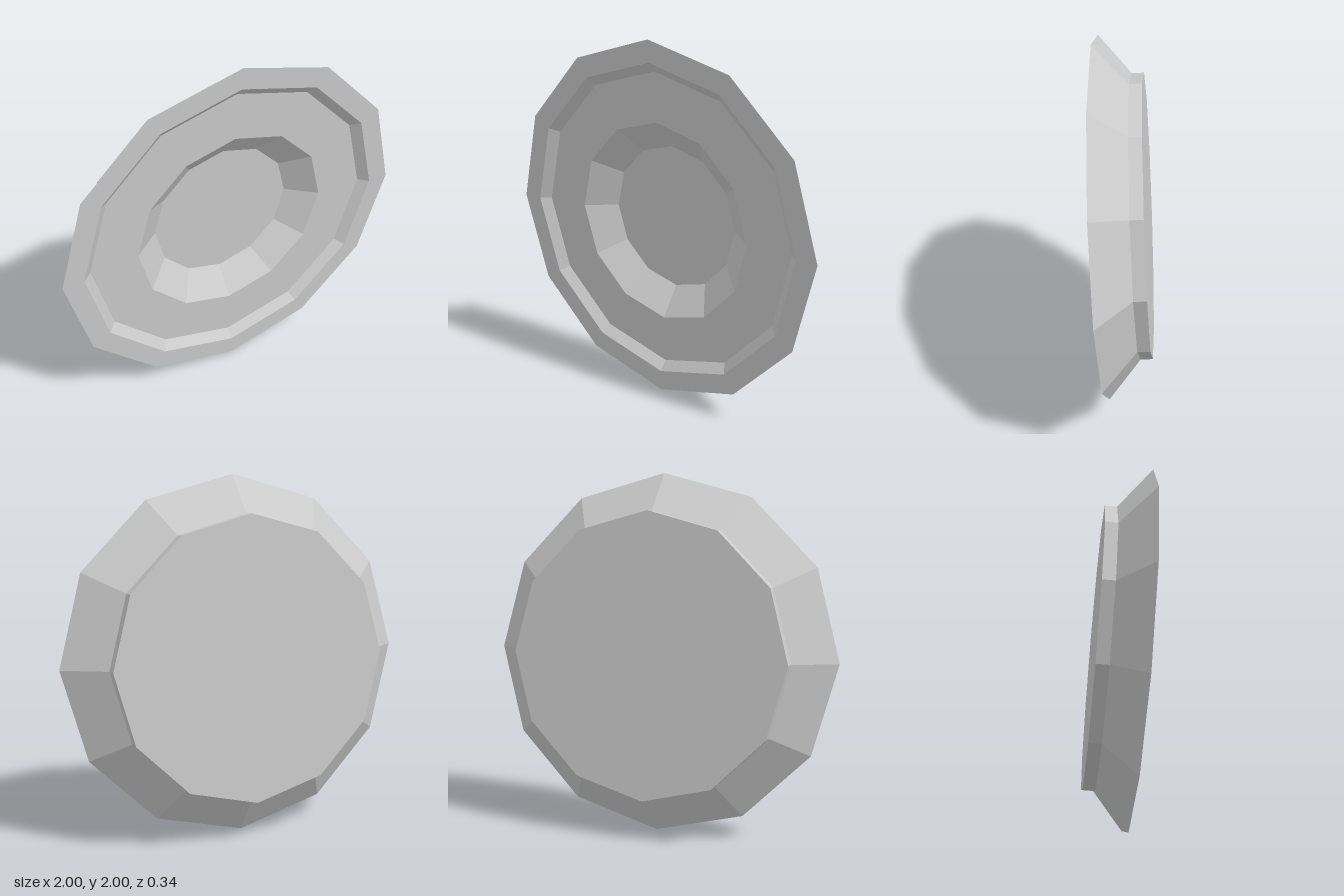
import * as THREE from 'three';

const SIDES = 12;
const TILT = THREE.MathUtils.degToRad(3.07);

export function createModel() {
  const material = new THREE.MeshStandardMaterial({ color: 0xcccccc, flatShading: true });

  // Turn a [radius, height] profile around the disc axis; height 0 is the front rim
  const turned = (name, profile) => {
    const points = profile.map(([r, h]) => new THREE.Vector2(r, h));
    const mesh = new THREE.Mesh(new THREE.LatheGeometry(points, SIDES), material);
    mesh.name = name;
    return mesh;
  };

  const disc = new THREE.Group();
  disc.name = 'tiltedDisc';
  disc.add(
    // Flat back and its short straight wall
    turned('backPlate', [[0, -0.245], [0.784, -0.245], [0.784, -0.178]]),
    // Wall flaring out to the front edge
    turned('flaredWall', [[0.784, -0.178], [1, 0]]),
    // Flat front rim
    turned('frontRim', [[1, 0], [0.882, 0]]),
    // Shallow step down to the recessed face
    turned('recessedFace', [[0.882, 0], [0.83, -0.045], [0.561, -0.045]]),
    // Central bowl with a flat floor
    turned('centreBowl', [[0.561, -0.045], [0.406, -0.165], [0, -0.165]]),
  );

  // Face the front, leaning slightly forward
  disc.rotation.x = Math.PI / 2 + TILT;
  disc.position.set(0, 1, 0.118);

  const model = new THREE.Group();
  model.name = 'roundDish';
  model.add(disc);
  return model;
}
